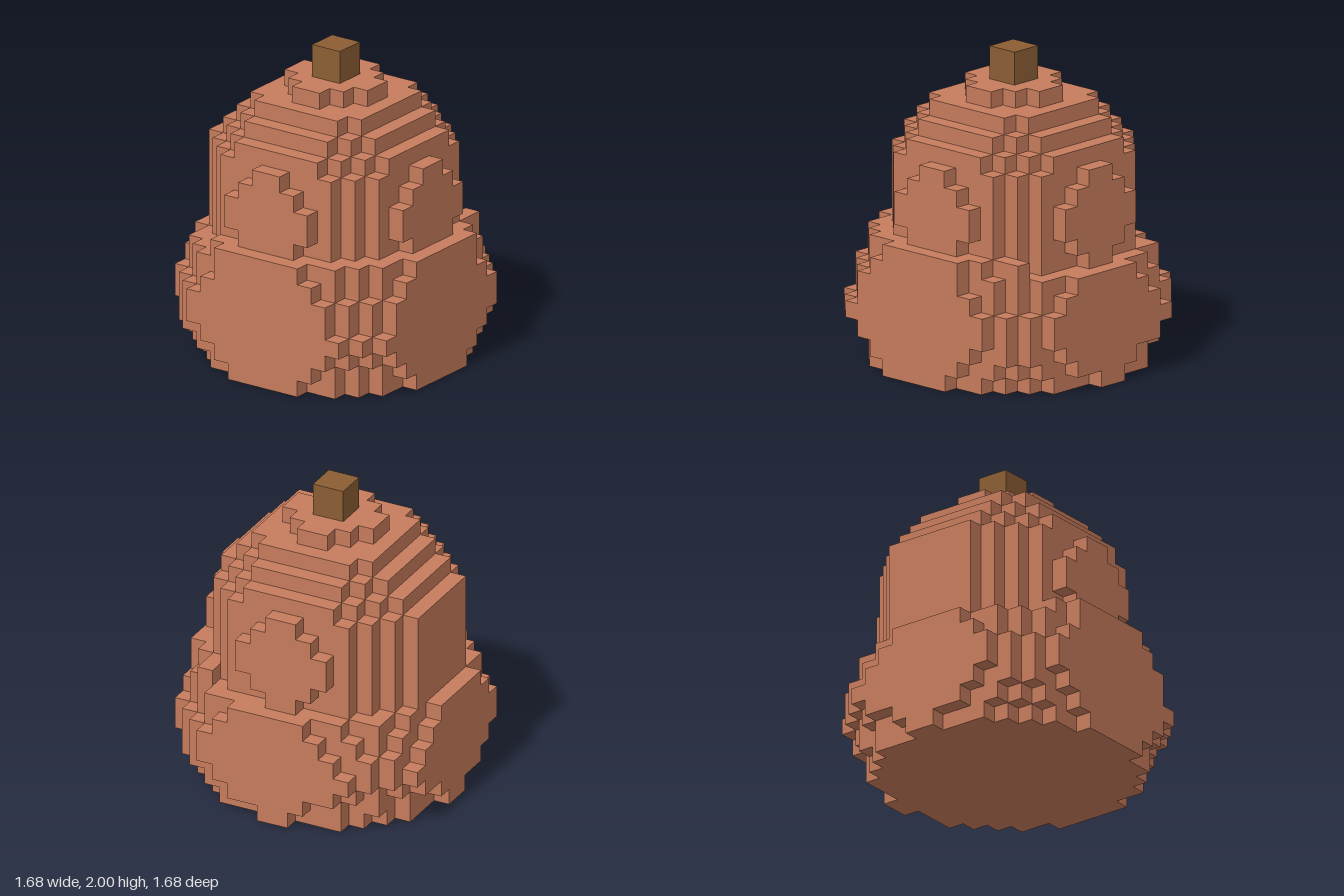
import * as THREE from 'three';
import { mergeGeometries } from 'three/addons/utils/BufferGeometryUtils.js';

const U = 2 / 19; // edge of one voxel

// squared radius of each layer of the wide lower half
const LOWER = [60.5, 66, 73, 83, 79, 72, 66, 61];

// i, j, k are voxel indices; the voxel spans i..i+1 and so on
function filled(i, j, k) {
  if (i < -8 || i > 7 || k < -8 || k > 7 || j < 0 || j > 16) return false;
  const x = i + 0.5, y = j + 0.5, z = k + 0.5;
  // round upper half
  if (x * x + (y - 10) ** 2 + z * z <= 49) return true;
  // flat panel on the back
  if (k === -7 && Math.abs(x) < 3 && j >= 7 && j < 13) return true;
  // bulging lower half, one layer taller at the front and on one side
  if (j > 7 || (j === 7 && 1.2 * z - x < 1)) return false;
  return (x + 0.2) ** 2 + (z - 0.2) ** 2 <= LOWER[j];
}

// the six face directions with the turn that aims a plane that way
const H = Math.PI / 2;
const SIDES = [
  [1, 0, 0, 0, H], [-1, 0, 0, 0, -H],
  [0, 1, 0, -H, 0], [0, -1, 0, H, 0],
  [0, 0, 1, 0, 0], [0, 0, -1, 0, Math.PI],
].map(([dx, dy, dz, rx, ry]) => ({
  dx, dy, dz,
  face: new THREE.PlaneGeometry(U, U).rotateX(rx).rotateY(ry)
    .translate(dx * U / 2, dy * U / 2, dz * U / 2),
}));

// outer skin of all filled voxels
function voxelSkin() {
  const faces = [];
  for (let j = 0; j < 17; j++)
    for (let i = -8; i < 8; i++)
      for (let k = -8; k < 8; k++) {
        if (!filled(i, j, k)) continue;
        for (const { dx, dy, dz, face } of SIDES)
          if (!filled(i + dx, j + dy, k + dz))
            faces.push(face.clone().translate((i + 0.5) * U, (j + 0.5) * U, (k + 0.5) * U));
      }
  return mergeGeometries(faces);
}

export function createModel() {
  const skin = new THREE.MeshStandardMaterial({ color: 0xc67b5c });
  skin.name = 'terracotta';
  const wood = new THREE.MeshStandardMaterial({ color: 0x8b5e34 });
  wood.name = 'stemBrown';

  const body = new THREE.Mesh(voxelSkin(), skin);
  body.name = 'pearBody';

  const stem = new THREE.Mesh(new THREE.BoxGeometry(2 * U, 2 * U, 2 * U), wood);
  stem.name = 'stem';
  stem.position.y = 18 * U;

  const group = new THREE.Group();
  group.name = 'pear';
  group.add(body, stem);
  return group;
}
